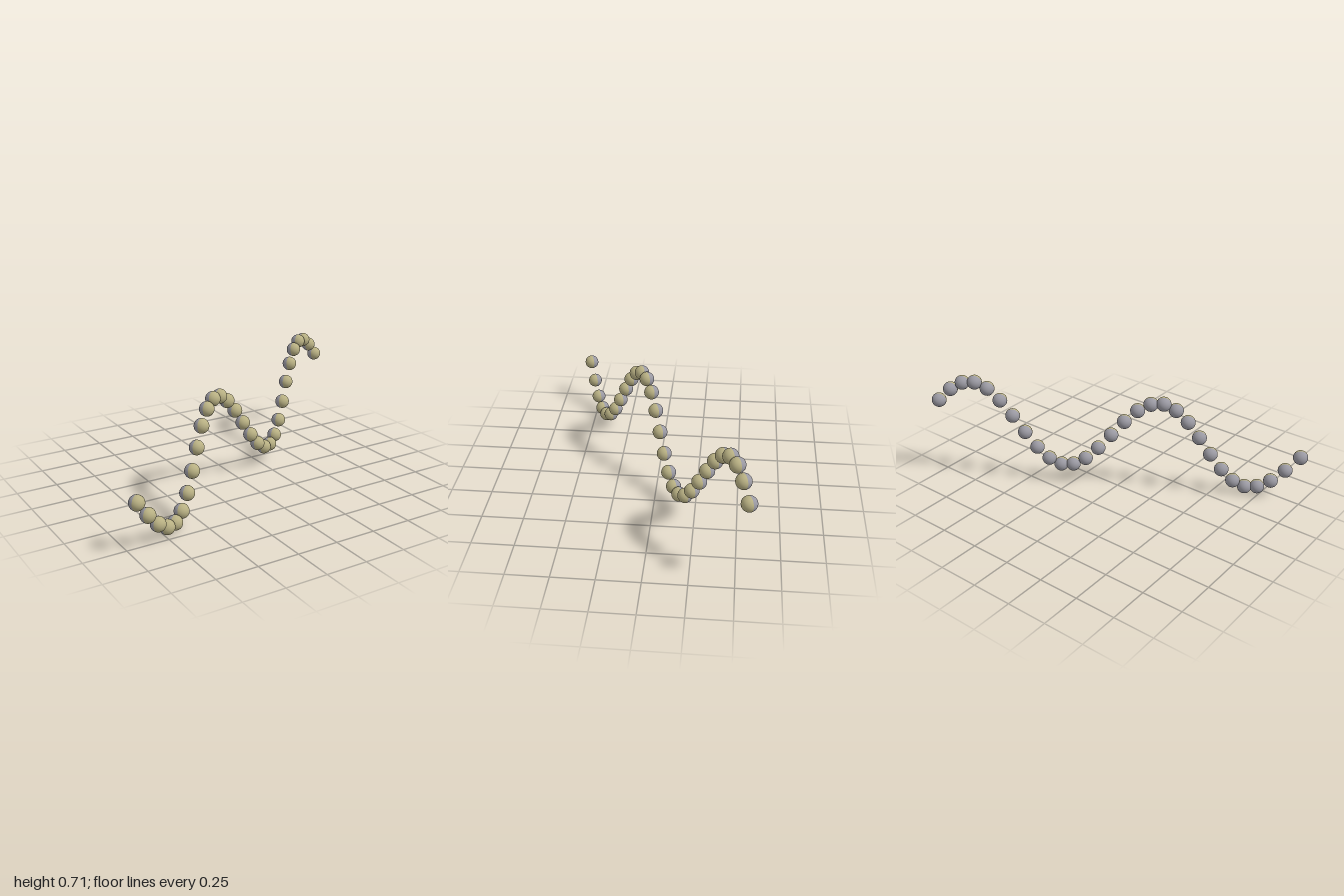
import * as THREE from 'three';

export function createModel() {
  const olive = new THREE.MeshStandardMaterial({ color: 0xb8b083 });
  olive.name = 'olive';
  const grey = new THREE.MeshStandardMaterial({ color: 0x9a99a2 });
  grey.name = 'grey';

  const count = 30;
  const radius = 0.0445;
  const start = new THREE.Vector3(-0.956, 0.2915, 0.553);
  const step = new THREE.Vector3(0.0662, 0.00446, -0.0379); // along the chain
  const swing = new THREE.Vector3(0.024, -0.265, 0.014); // wave amplitude

  // Each bead is two hemispheres split along the plane of the wave
  const frontHalf = new THREE.SphereGeometry(radius, 32, 12, 0, Math.PI * 2, 0, Math.PI / 2);
  const backHalf = new THREE.SphereGeometry(radius, 32, 12, 0, Math.PI * 2, Math.PI / 2, Math.PI / 2);
  const facing = swing.clone().cross(step).normalize();
  const turn = new THREE.Quaternion().setFromUnitVectors(new THREE.Vector3(0, 1, 0), facing);

  const chain = new THREE.Group();
  chain.name = 'waveOfBeads';
  for (let i = 0; i < count; i++) {
    const bead = new THREE.Group();
    bead.name = `bead${i + 1}`;
    const front = new THREE.Mesh(frontHalf, olive);
    front.name = 'beadFront';
    const back = new THREE.Mesh(backHalf, grey);
    back.name = 'beadBack';
    bead.add(front, back);
    bead.quaternion.copy(turn);
    bead.position.copy(start)
      .addScaledVector(step, i)
      .addScaledVector(swing, Math.sin((i / 15) * Math.PI * 2));
    chain.add(bead);
  }
  return chain;
}
